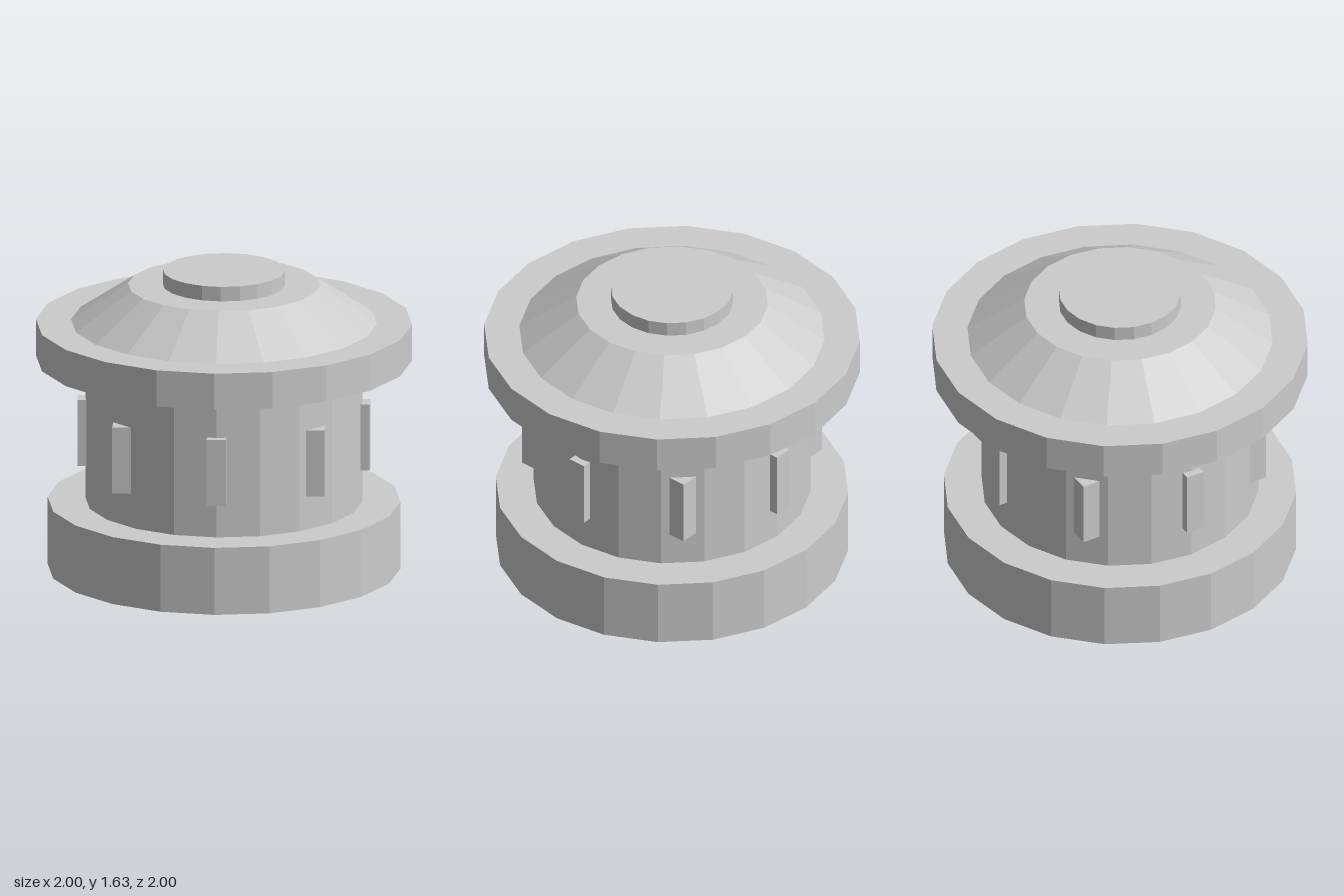
import * as THREE from 'three';

export function createModel() {
  const model = new THREE.Group();
  const stone = new THREE.MeshStandardMaterial({ color: 0xcccccc });
  stone.name = 'light grey';
  stone.flatShading = true;

  const add = (name, geometry, x, y, z) => {
    const mesh = new THREE.Mesh(geometry, stone);
    mesh.name = name;
    mesh.position.set(x, y, z);
    model.add(mesh);
  };

  // Stacked 20-sided drums: name, bottom radius, top radius, bottom y, top y
  const tiers = [
    ['base', 0.938, 0.938, 0, 0.37],
    ['body', 0.737, 0.737, 0.37, 1.15],
    ['roofRim', 1, 1, 1.15, 1.35],
    ['roofSlope', 0.813, 0.51, 1.35, 1.555],
    ['roofCap', 0.325, 0.325, 1.555, 1.635],
  ];
  for (const [name, bottom, top, y0, y1] of tiers) {
    add(name, new THREE.CylinderGeometry(top, bottom, y1 - y0, 20), 0, (y0 + y1) / 2, 0);
  }

  // Eight upright posts around the body, all square to the axes
  const post = new THREE.BoxGeometry(0.102, 0.365, 0.102);
  for (let i = 0; i < 8; i++) {
    const a = (i * Math.PI) / 4;
    add(`windowPost${i + 1}`, post, 0.726 * Math.sin(a), 0.737, 0.726 * Math.cos(a));
  }

  return model;
}
